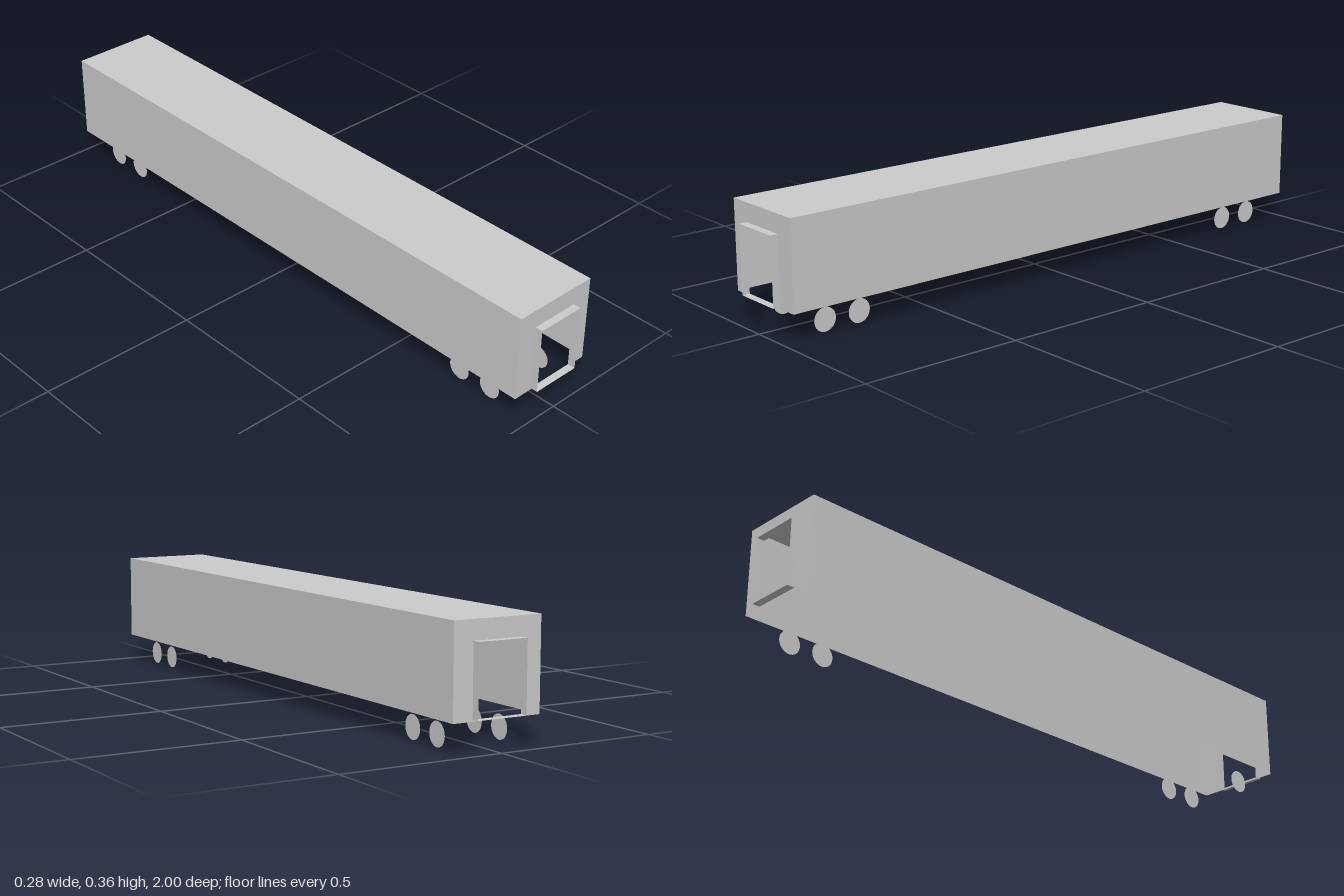
import * as THREE from 'three';

const HALF_W = 0.14, BOTTOM = 0.087, TOP = 0.356, HALF_L = 0.976;
const DOOR_W = 0.078, DOOR_BOTTOM = 0.093, DOOR_TOP = 0.299, END = 1;
const WHEEL_R = 0.036, WHEEL_X = 0.102;

const material = new THREE.MeshStandardMaterial({ color: 0xcccccc, side: THREE.DoubleSide });

function addMesh(parent, name, geometry, x = 0, y = 0, z = 0) {
  const mesh = new THREE.Mesh(geometry, material);
  mesh.name = name;
  mesh.position.set(x, y, z);
  parent.add(mesh);
  return mesh;
}

// Upright sheet facing +x or -x
function sidePanel(length, height, sign) {
  return new THREE.PlaneGeometry(length, height).rotateY(sign * Math.PI / 2);
}

// Level sheet facing up
function levelPanel(width, length) {
  return new THREE.PlaneGeometry(width, length).rotateX(-Math.PI / 2);
}

// End wall with a doorway, and the thin gangway collar around it
function buildEnd(name) {
  const end = new THREE.Group();
  end.name = name;

  const wall = new THREE.Shape([
    new THREE.Vector2(-HALF_W, BOTTOM), new THREE.Vector2(HALF_W, BOTTOM),
    new THREE.Vector2(HALF_W, TOP), new THREE.Vector2(-HALF_W, TOP),
  ]);
  wall.holes.push(new THREE.Path([
    new THREE.Vector2(-DOOR_W, DOOR_BOTTOM), new THREE.Vector2(-DOOR_W, DOOR_TOP),
    new THREE.Vector2(DOOR_W, DOOR_TOP), new THREE.Vector2(DOOR_W, DOOR_BOTTOM),
  ]));
  addMesh(end, 'endWall', new THREE.ShapeGeometry(wall), 0, 0, HALF_L);

  const depth = END - HALF_L, z = (END + HALF_L) / 2;
  const doorMid = (DOOR_BOTTOM + DOOR_TOP) / 2;
  for (const s of [-1, 1]) {
    addMesh(end, s > 0 ? 'collarLeft' : 'collarRight',
      sidePanel(depth, DOOR_TOP - DOOR_BOTTOM, s), s * DOOR_W, doorMid, z);
  }
  addMesh(end, 'collarTop', levelPanel(DOOR_W * 2, depth), 0, DOOR_TOP, z);
  addMesh(end, 'collarSill', levelPanel(DOOR_W * 2, depth), 0, DOOR_BOTTOM, z);
  return end;
}

export function createModel() {
  const model = new THREE.Group();
  model.name = 'railCarriage';

  // Body shell, open underneath
  addMesh(model, 'roof', levelPanel(HALF_W * 2, HALF_L * 2), 0, TOP, 0);
  for (const s of [-1, 1]) {
    addMesh(model, s > 0 ? 'leftWall' : 'rightWall',
      sidePanel(HALF_L * 2, TOP - BOTTOM, s), s * HALF_W, (TOP + BOTTOM) / 2, 0);
  }

  // Matching ends
  const front = buildEnd('frontEnd');
  const back = buildEnd('backEnd');
  back.rotation.y = Math.PI;
  model.add(front, back);

  // Flat wheel discs, two pairs near each end
  const wheels = new THREE.Group();
  wheels.name = 'wheels';
  for (const s of [-1, 1]) {
    const disc = new THREE.CircleGeometry(WHEEL_R, 32).rotateY(s * Math.PI / 2);
    for (const z of [-0.85, -0.735, 0.735, 0.85]) {
      addMesh(wheels, 'wheel', disc, s * WHEEL_X, WHEEL_R, z);
    }
  }
  model.add(wheels);

  return model;
}
